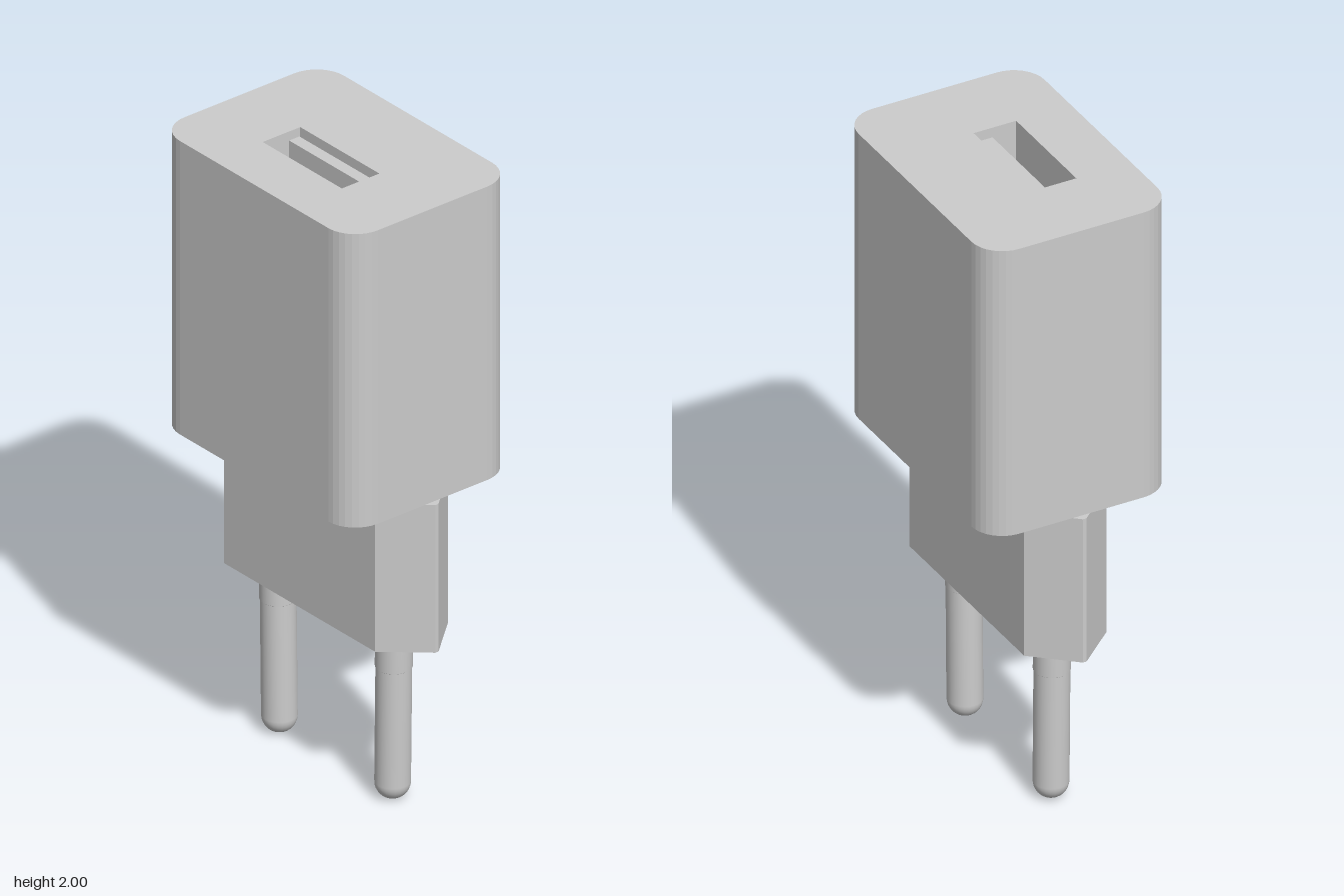
import * as THREE from 'three';

const material = new THREE.MeshStandardMaterial({ color: 0xcccccc });

function addMesh(group, name, geometry) {
  const mesh = new THREE.Mesh(geometry, material);
  mesh.name = name;
  group.add(mesh);
  return mesh;
}

// Extrude an outline in the ground plane from y0 up to y1
function prism(shape, y0, y1) {
  const geometry = new THREE.ExtrudeGeometry(shape, { depth: y1 - y0, bevelEnabled: false, curveSegments: 4 });
  return geometry.rotateX(-Math.PI / 2).translate(0, y0, 0);
}

function roundedRect(w, d, r) {
  const s = new THREE.Shape();
  s.moveTo(w - r, -d);
  s.absarc(w - r, -d + r, r, -Math.PI / 2, 0);
  s.absarc(w - r, d - r, r, 0, Math.PI / 2);
  s.absarc(-w + r, d - r, r, Math.PI / 2, Math.PI);
  s.absarc(-w + r, -d + r, r, Math.PI, Math.PI * 1.5);
  s.closePath();
  return s;
}

function polygon(points) {
  return new THREE.Shape(points.map(([x, y]) => new THREE.Vector2(x, y)));
}

export function createModel() {
  const model = new THREE.Group();
  model.name = 'wallCharger';

  // Housing: solid lower part, upper part with the socket opening
  const floorY = 1.7;
  addMesh(model, 'housingLower', prism(roundedRect(0.304, 0.434, 0.1), 1.04, floorY));
  const rim = roundedRect(0.304, 0.434, 0.1);
  rim.holes.push(polygon([[-0.125, -0.178], [-0.125, 0.178], [0.014, 0.178], [0.014, -0.178]]));
  addMesh(model, 'housingUpper', prism(rim, floorY, 2));

  // Contact tongue inside the socket
  const tongue = new THREE.BoxGeometry(0.038, 0.28, 0.325);
  addMesh(model, 'socketTongue', tongue).position.set(-0.019, floorY + 0.14, -0.002);

  // Plug neck with chamfered ends
  const neck = polygon([
    [0.135, -0.34], [0.135, 0.34], [0.006, 0.454], [-0.006, 0.454],
    [-0.135, 0.34], [-0.135, -0.34], [-0.006, -0.454], [0.006, -0.454],
  ]);
  addMesh(model, 'plugNeck', prism(neck, 0.557, 1.04));

  // Pins: rounded tip, straight shaft, slightly thicker sleeve at the root
  const tip = [];
  for (let i = 0; i <= 8; i++) {
    const a = (i / 8) * Math.PI / 2;
    tip.push(new THREE.Vector2(0.053 * Math.sin(a), 0.053 * (1 - Math.cos(a))));
  }
  const shaft = [...tip, new THREE.Vector2(0.053, 0.43)];
  const sleeve = [[0.053, 0.43], [0.055, 0.432], [0.055, 0.56]].map(([r, y]) => new THREE.Vector2(r, y));
  for (const side of [1, -1]) {
    const pin = new THREE.Group();
    pin.name = side > 0 ? 'frontPin' : 'backPin';
    // The pins lean slightly towards each other
    const lean = new THREE.Matrix4().set(1, 0, 0, 0, 0, 1, 0, 0, 0, side * 0.014, 1, side * 0.254, 0, 0, 0, 1);
    addMesh(pin, 'pinShaft', new THREE.LatheGeometry(shaft, 24).applyMatrix4(lean));
    addMesh(pin, 'pinSleeve', new THREE.LatheGeometry(sleeve, 24).applyMatrix4(lean));
    model.add(pin);
  }

  return model;
}
